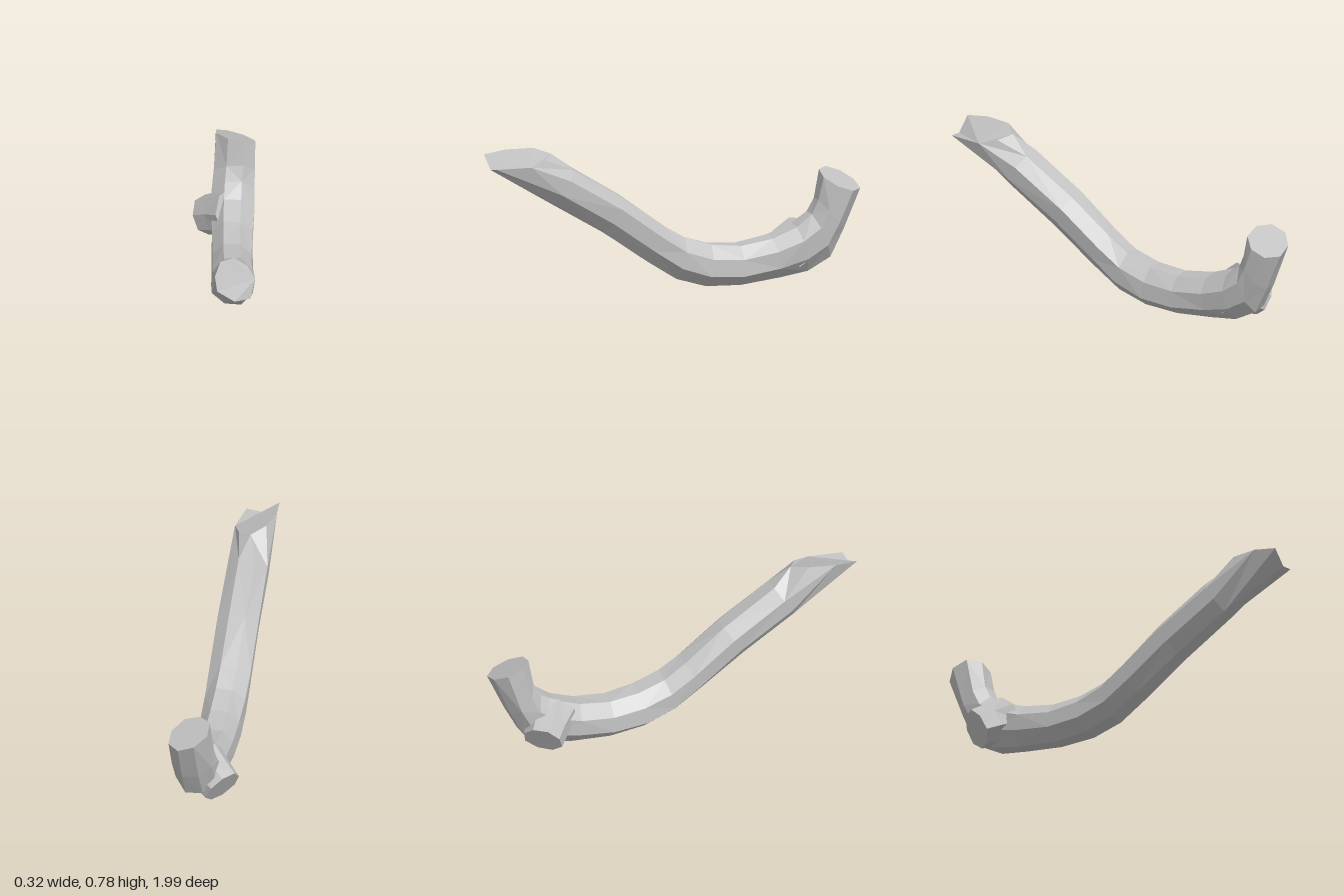
import * as THREE from 'three';

const SIDES = 8;

// Skin a list of rings (arrays of Vector3) and close both ends
function loft(rings) {
  const pos = [];
  const tri = (...p) => p.forEach(v => pos.push(v.x, v.y, v.z));
  for (let k = 0; k < rings.length - 1; k++) {
    for (let i = 0; i < SIDES; i++) {
      const j = (i + 1) % SIDES;
      const a = rings[k][i], b = rings[k][j], c = rings[k + 1][j], d = rings[k + 1][i];
      if ((i + k) % 2) { tri(a, d, b); tri(b, d, c); }
      else { tri(a, d, c); tri(a, c, b); }
    }
  }
  const first = rings[0], last = rings[rings.length - 1];
  for (let i = 1; i < SIDES - 1; i++) {
    tri(first[0], first[i], first[i + 1]);
    tri(last[0], last[i + 1], last[i]);
  }
  const g = new THREE.BufferGeometry();
  g.setAttribute('position', new THREE.Float32BufferAttribute(pos, 3));
  g.computeVertexNormals();
  return g;
}

// Elliptical ring: centre plus two half-axes, with a little seeded unevenness
function ring(centre, u, v, rough, seed) {
  return Array.from({ length: SIDES }, (_, i) => {
    const a = (i + 0.5) / SIDES * Math.PI * 2;
    const s = 1.06 + rough * Math.sin(seed * 7.3 + i * 4.1);
    return centre.clone().addScaledVector(u, Math.cos(a) * s).addScaledVector(v, Math.sin(a) * s);
  });
}

export function createModel() {
  const group = new THREE.Group();
  group.name = 'branch';
  const wood = new THREE.MeshStandardMaterial({ color: 0xc0c0c0, flatShading: true });
  wood.name = 'pale grey wood';
  const V = (x, y, z) => new THREE.Vector3(x, y, z);

  // Slanting front cut with a blunt tip
  const frontCut = [
    [0.137, 0.715, 0.80], [0.10, 0.74, 0.71], [0.03, 0.76, 0.66], [-0.04, 0.78, 0.73],
    [-0.07, 0.775, 0.87], [-0.06, 0.76, 0.99], [0.03, 0.695, 0.985], [0.11, 0.71, 0.98],
  ].map(p => V(...p));

  // Stem sections: upper z, y, lower z, y, centre x, half width
  const sections = [
    [0.55, 0.68, 0.66, 0.50, 0.030, 0.106],
    [0.27, 0.51, 0.38, 0.33, 0.030, 0.106],
    [0.05, 0.345, 0.15, 0.17, 0.030, 0.106],
    [-0.06, 0.275, -0.01, 0.065, 0.032, 0.106],
    [-0.20, 0.23, -0.17, 0.012, 0.033, 0.106],
    [-0.36, 0.215, -0.36, 0.003, 0.034, 0.106],
    [-0.53, 0.245, -0.57, 0.03, 0.037, 0.108],
    [-0.66, 0.30, -0.72, 0.06, 0.042, 0.110],
    [-0.74, 0.36, -0.84, 0.13, 0.045, 0.108],
    [-0.775, 0.43, -0.91, 0.27, 0.052, 0.106],
  ];
  const stemRings = sections.map(([tz, ty, bz, by, cx, hw], k) => ring(
    V(cx, (ty + by) / 2, (tz + bz) / 2), V(hw, 0, 0),
    V(0, (ty - by) / 2, (tz - bz) / 2), 0.045, k));

  // Tilted cut at the raised rear end
  const rearCut = ring(V(0.06, 0.527, -0.9), V(0.102, -0.035, 0), V(0, 0.035, 0.1), 0.02, 3);

  const stem = new THREE.Mesh(loft([frontCut, ...stemRings, rearCut]), wood);
  stem.name = 'bentStem';
  group.add(stem);

  // Short side stub pointing right, down and back
  const dir = V(-0.62, -0.42, -0.5).normalize();
  const u = V(0, 1, 0).cross(dir).normalize();
  const v = u.clone().cross(dir);
  const stubRings = [
    [0.05, 0.21, -0.66, 0.13],
    [-0.03, 0.175, -0.72, 0.106],
    [-0.09, 0.14, -0.77, 0.098],
  ].map(([x, y, z, r], k) => ring(V(x, y, z),
    u.clone().multiplyScalar(r), v.clone().multiplyScalar(-r).negate(), 0.03, k));
  const stub = new THREE.Mesh(loft(stubRings), wood);
  stub.name = 'sideStub';
  group.add(stub);

  return group;
}
